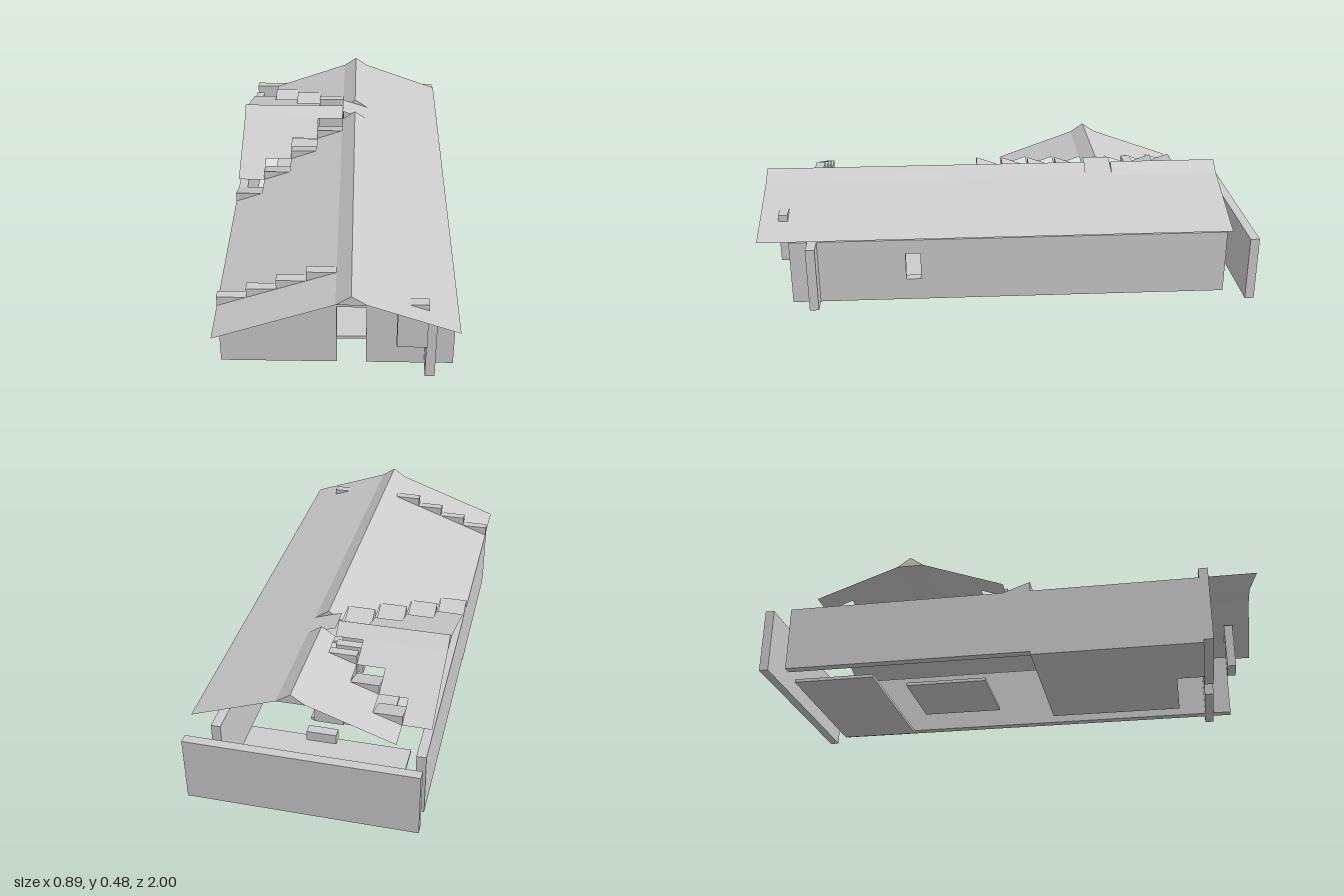
import * as THREE from 'three';

const U = 1 / 9;          // grid module of the house
const T = 0.037;          // wall thickness
const RISE = 0.04;        // roof rise per module
const EAVE = 0.28;        // wall top
const BASE = 0.013;       // floor top
const L = -4 * U;         // left-hand edge in x

export function createModel() {
  const house = new THREE.Group();
  house.name = 'house';
  const solid = new THREE.MeshStandardMaterial({ color: 0xcccccc, flatShading: true });
  const thin = new THREE.MeshStandardMaterial({ color: 0xcccccc, flatShading: true, side: THREE.DoubleSide });

  const add = (name, geometry, material = solid) => {
    const mesh = new THREE.Mesh(geometry, material);
    mesh.name = name;
    house.add(mesh);
    return mesh;
  };
  // Box given by its extents
  const box = (name, x0, x1, y0, y1, z0, z1) =>
    add(name, new THREE.BoxGeometry(x1 - x0, y1 - y0, z1 - z0))
      .position.set((x0 + x1) / 2, (y0 + y1) / 2, (z0 + z1) / 2);
  // Thin four-cornered roof sheet
  const sheet = (name, a, b, c, d) => {
    const g = new THREE.BufferGeometry();
    g.setAttribute('position', new THREE.Float32BufferAttribute([...a, ...b, ...c, ...d], 3));
    g.setIndex([0, 1, 2, 0, 2, 3]);
    g.computeVertexNormals();
    add(name, g, thin);
  };
  const shapeOf = (pts) => new THREE.Shape(pts.map(([a, b]) => new THREE.Vector2(a, b)));
  // Prism with an (x, y) outline running along z
  const prismZ = (name, pts, z0, z1) =>
    add(name, new THREE.ExtrudeGeometry(shapeOf(pts), { depth: z1 - z0, bevelEnabled: false })).position.z = z0;
  // Prism with a (z, y) outline running along x
  const prismX = (name, shape, x0, x1) => {
    const g = new THREE.ExtrudeGeometry(shape, { depth: x1 - x0, bevelEnabled: false });
    g.rotateY(-Math.PI / 2);
    g.translate(x1, 0, 0);
    add(name, g);
  };

  // Floor slabs
  prismYFloor();
  function prismYFloor() {
    box('frontFloor', L, 2 * U, 0, BASE, U, 6 * U);
    box('frontFloorStrip', L, -U, 0, BASE, 6 * U, 7 * U);
    box('middleFloor', -2 * U, U, 0, BASE, -4 * U, -U);
    box('backFloor', -3 * U, 3 * U, 0, BASE, -8 * U, -5 * U);
  }

  // Side and back walls, with a window in one side
  box('rightWall', L, L + T, BASE, EAVE, -8 * U, 7 * U + T);
  box('backWall', L, -L, BASE, EAVE, -1, -1 + T);
  const side = shapeOf([[-8 * U, BASE], [8 * U, BASE], [8 * U, EAVE], [-8 * U, EAVE]]);
  side.holes.push(new THREE.Path([[0.365, 0.105], [0.365, 0.22], [0.425, 0.22], [0.425, 0.105]]
    .map(([a, b]) => new THREE.Vector2(a, b))));
  prismX('leftWall', side, 3 * U, 3 * U + T);

  // Front wall: stepped gable columns with a doorway
  for (let k = 0; k < 8; k++) {
    const top = EAVE + RISE * (k < 4 ? k + 1 : 7 - k);
    const x = L + k * U;
    if (k !== 4) box('frontWall', x, x + U, BASE, EAVE, 7 * U, 7 * U + T);
    if (top > EAVE) box('gableStep', x, x + U, EAVE, top, 7 * U, 7 * U + T);
  }
  box('chimney', 2 * U, 3 * U, 0.187, 0.385, 8 * U, 8 * U + T);

  // Stepped row of small blocks under the rear roof
  for (let k = 0; k < 7; k++) {
    const z = -(k + 2) * U;
    box('innerBlock', -U, 0, EAVE, EAVE + RISE * (4 - Math.abs(k - 3)), z, z + T);
  }

  // Main roof: whole slope on one side, stepped rows around the cross roof on the other
  const yTop = EAVE + 4 * RISE, ridge = 0.478;
  sheet('leftRoof', [U, yTop, 1], [4 * U, 0.318, 1], [4 * U, 0.318, -8 * U], [U, yTop, -8 * U]);
  for (let k = 0; k < 4; k++) {
    const x0 = L + k * U, x1 = x0 + U, y0 = EAVE + k * RISE, y1 = y0 + RISE;
    const row = (z0, z1) => sheet('rightRoofRow', [x0, y0, z1], [x1, y1, z1], [x1, y1, z0], [x0, y0, z0]);
    row((1 - k) * U, 1);
    if (k > 0) row(-8 * U, (k - 8) * U);

    // Valley wedges along the diagonals
    const wedge = (zHigh, zLow) => prismX('valleyWedge',
      shapeOf([[zHigh, y0], [zHigh, y1], [zLow, y0]]), x0, x1);
    wedge((1 - k) * U, -k * U);
    if (k === 1 || k === 2) wedge((k - 8) * U, (k - 7) * U);

    // Cross roof slopes, shorter towards the main ridge
    if (k < 3) {
      for (const s of [1, -1]) {
        const zTop = -3.5 * U + s * U / 2, zLow = zTop + s * (3 - k) * U, yLow = EAVE + (k + 1) * RISE;
        sheet('crossRoof', [x0, yLow, zLow], [x1, yLow, zLow], [x1, yTop, zTop], [x0, yTop, zTop]);
      }
    }
  }

  // Ridge caps and the tile where they meet
  const cap = [[0, yTop], [U, yTop], [U / 2, ridge]];
  prismZ('ridgeCap', cap, -3 * U, 1);
  prismZ('ridgeCap', cap, -8 * U, -4 * U);
  prismX('crossRidgeCap', shapeOf(cap.map(([a, b]) => [a - 4 * U, b])), L, 0);
  sheet('ridgeJunction', [0, ridge, -3 * U], [U, yTop, -3 * U], [U, yTop, -4 * U], [0, ridge, -4 * U]);

  return house;
}
